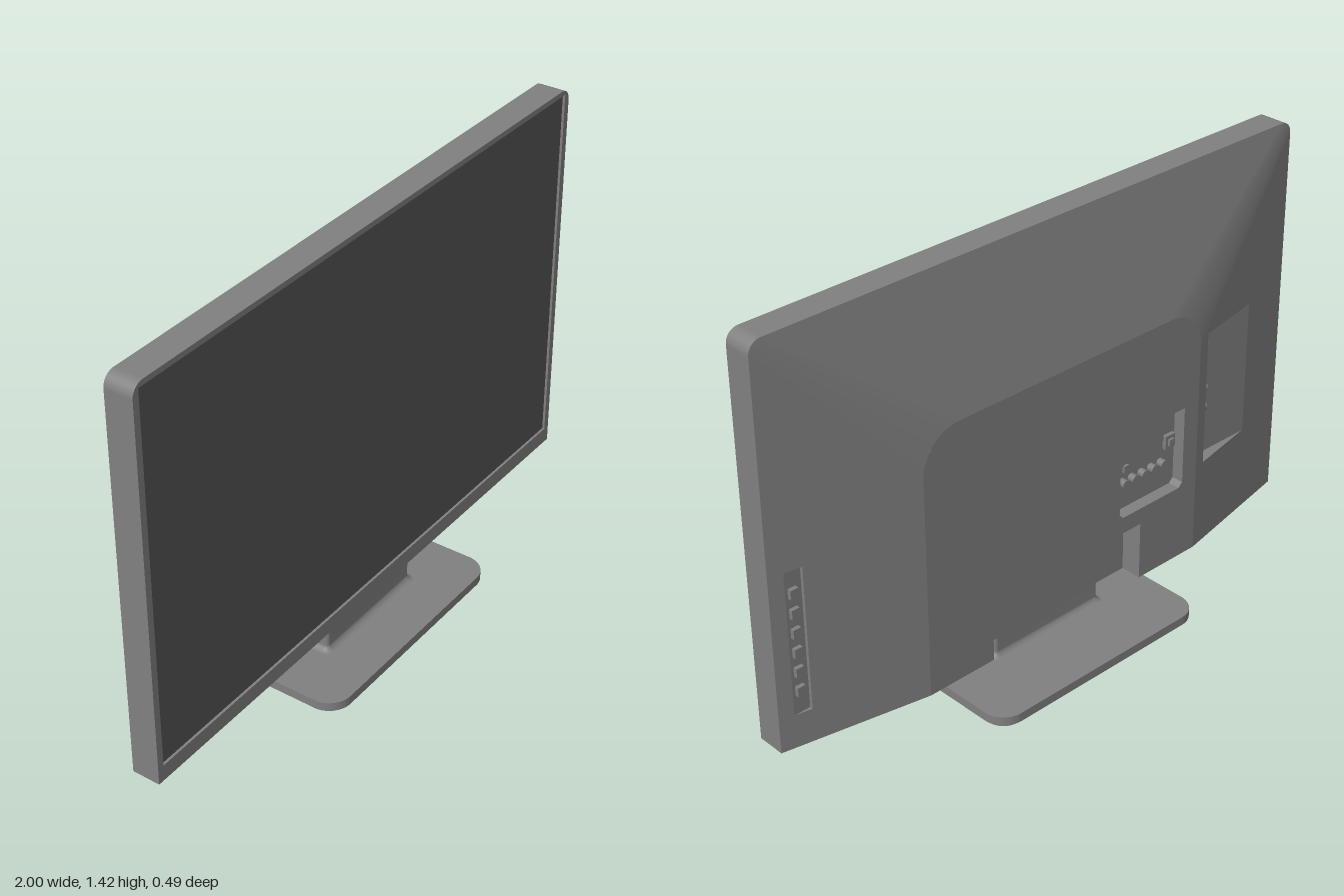
import * as THREE from 'three';

const BOTTOM = 0.155, TOP = 1.42, BACK = -0.09;
const PX = 0.54, PY = 1.0, PR = 0.13, R = 0.04; // rear plateau and corner radii

const body = new THREE.MeshStandardMaterial({ color: 0x808080 });
body.name = 'bodyGrey';
const dark = new THREE.MeshStandardMaterial({ color: 0x555555 });
dark.name = 'screenGrey';

function add(parent, name, geometry, x = 0, y = 0, z = 0, material = body) {
  const mesh = new THREE.Mesh(geometry, material);
  mesh.name = name;
  mesh.position.set(x, y, z);
  parent.add(mesh);
  return mesh;
}

const polygon = pts => new THREE.Shape(pts.map(p => new THREE.Vector2(p[0], p[1])));

// Rear-facing surface over an outline, with its depth given by a rule
function rearSurface(shape, depth) {
  const g = new THREE.ShapeGeometry(shape, 10);
  const p = g.attributes.position, idx = g.index.array;
  for (let i = 0; i < p.count; i++) p.setZ(i, depth(p.getX(i), p.getY(i)));
  for (let i = 0; i < idx.length; i += 3) [idx[i + 1], idx[i + 2]] = [idx[i + 2], idx[i + 1]];
  g.computeVertexNormals();
  return g;
}

function triangles(v) {
  const g = new THREE.BufferGeometry();
  g.setAttribute('position', new THREE.Float32BufferAttribute(v, 3));
  g.computeVertexNormals();
  return g;
}

// Recess with a flat floor; outline runs counter-clockwise in x, y
function pocket(parent, name, pts, depth, floor, firstEdge = 0) {
  const v = [];
  for (let i = firstEdge; i < pts.length; i++) {
    const a = pts[i], b = pts[(i + 1) % pts.length];
    const za = depth(...a), zb = depth(...b);
    v.push(...a, floor, ...b, floor, ...b, zb, ...a, floor, ...b, zb, ...a, za);
  }
  add(parent, name + 'Walls', triangles(v));
  add(parent, name + 'Floor', rearSurface(polygon(pts), () => floor));
}

function roundedRect(hx, hy, r) {
  const s = new THREE.Shape();
  s.absarc(hx - r, hy - r, r, 0, Math.PI / 2);
  s.absarc(r - hx, hy - r, r, Math.PI / 2, Math.PI);
  s.absarc(r - hx, r - hy, r, Math.PI, Math.PI * 1.5);
  s.absarc(hx - r, r - hy, r, Math.PI * 1.5, Math.PI * 2);
  return s;
}

function slab(hx, hz, r, height) {
  const g = new THREE.ExtrudeGeometry(roundedRect(hx, hz, r), { depth: height, bevelEnabled: false, curveSegments: 10 });
  return g.rotateX(-Math.PI / 2);
}

// Upright neck whose outline flares out towards its foot
function flaredNeck(hx, hz, r, rows) {
  const v = [], idx = [];
  let n = 0;
  for (const [y, grow] of rows) {
    const pts = roundedRect(hx + grow, hz + grow, r + grow).getPoints(5);
    n = pts.length;
    for (const p of pts) v.push(p.x, y, -p.y);
  }
  for (let j = 0; j < rows.length - 1; j++) {
    for (let i = 0; i < n; i++) {
      const k = (i + 1) % n, a = j * n + i, b = j * n + k;
      idx.push(a, b, b + n, a, b + n, a + n);
    }
  }
  const g = new THREE.BufferGeometry();
  g.setAttribute('position', new THREE.Float32BufferAttribute(v, 3));
  g.setIndex(idx);
  g.computeVertexNormals();
  return g;
}

function buildFrontPanel(parent) {
  const frame = new THREE.Shape();
  frame.moveTo(-1, BOTTOM);
  frame.lineTo(1, BOTTOM);
  frame.absarc(1 - R, TOP - R, R, 0, Math.PI / 2);
  frame.absarc(R - 1, TOP - R, R, Math.PI / 2, Math.PI);
  frame.closePath();
  const x = 0.978, y0 = 0.207, y1 = 1.403;
  frame.holes.push(polygon([[-x, y0], [-x, y1], [x, y1], [x, y0]]));
  add(parent, 'bezel', new THREE.ExtrudeGeometry(frame, { depth: 0.09, bevelEnabled: false, curveSegments: 10 }));
  add(parent, 'screen', new THREE.PlaneGeometry(2 * x, y1 - y0), 0, (y0 + y1) / 2, 0.082, dark);
}

function buildRearShell(parent) {
  const flat = () => BACK;
  const side = x => BACK * (1 - Math.abs(x)) / (1 - PX);
  const top = (x, y) => BACK * (TOP - y) / (TOP - PY);

  // Recess outlines
  const notch = [[-0.3, BOTTOM], [0.3, BOTTOM], [0.3, 0.35], [-0.3, 0.35]];
  const ports = [[-0.465, 0.405], [-0.225, 0.405], [-0.21, 0.42], [-0.21, 0.575], [-0.225, 0.59],
    [-0.375, 0.59], [-0.39, 0.605], [-0.39, 0.665], [-0.405, 0.68], [-0.48, 0.68], [-0.48, 0.42]];
  const sidePorts = [[-0.811, 0.445], [-0.58, 0.445], [-0.58, 0.89], [-0.811, 0.89]];
  const keys = [[0.9, 0.265], [0.954, 0.265], [0.954, 0.73], [0.9, 0.73]];

  // Flat middle
  const plateau = new THREE.Shape();
  plateau.moveTo(0.3, BOTTOM);
  plateau.lineTo(PX, BOTTOM);
  plateau.absarc(PX - PR, PY - PR, PR, 0, Math.PI / 2);
  plateau.absarc(PR - PX, PY - PR, PR, Math.PI / 2, Math.PI);
  for (const p of [[-PX, BOTTOM], notch[0], notch[3], notch[2]]) plateau.lineTo(...p);
  plateau.holes.push(polygon(ports));
  add(parent, 'rearPlateau', rearSurface(plateau, flat));

  // Slopes
  const ix = PX - PR, iy = PY - PR;
  add(parent, 'topSlope', rearSurface(polygon([[ix, PY], [1 - R, TOP], [R - 1, TOP], [-ix, PY]]), top));
  for (const s of [1, -1]) {
    const slope = polygon([[s, BOTTOM], [s, TOP - R], [s * PX, iy], [s * PX, BOTTOM]]);
    slope.holes.push(polygon(s > 0 ? keys : sidePorts));
    add(parent, s > 0 ? 'leftSlope' : 'rightSlope', rearSurface(slope, side));

    // Rounded corner between slopes
    const n = 12, v = [], idx = [];
    for (let i = 0; i <= n; i++) {
      const c = Math.cos(i / n * Math.PI / 2), d = Math.sin(i / n * Math.PI / 2);
      v.push(s * (ix + PR * c), iy + PR * d, BACK, s * (1 - R + R * c), TOP - R + R * d, 0);
      if (i === n) break;
      const a = 2 * i, tris = [[a, a + 2, a + 1], [a + 2, a + 3, a + 1]];
      for (const t of tris) idx.push(...(s > 0 ? t : t.reverse()));
    }
    const g = new THREE.BufferGeometry();
    g.setAttribute('position', new THREE.Float32BufferAttribute(v, 3));
    g.setIndex(idx);
    g.computeVertexNormals();
    add(parent, s > 0 ? 'leftCorner' : 'rightCorner', g);
  }

  // Underside, cut out around the notch
  const under = polygon([[-1, 0], [-PX, BACK], [-0.3, BACK], [-0.3, -0.02], [0.3, -0.02], [0.3, BACK], [PX, BACK], [1, 0]]);
  add(parent, 'underside', new THREE.ShapeGeometry(under).rotateX(Math.PI / 2), 0, BOTTOM, 0);

  pocket(parent, 'standNotch', notch, flat, -0.02, 1);
  pocket(parent, 'portRecess', ports, flat, -0.05);
  pocket(parent, 'sidePortRecess', sidePorts, side, -0.037);
  pocket(parent, 'keyRecess', keys, side, -0.009);
}

function buildControls(parent) {
  // Control keys
  for (let i = 0; i < 6; i++) {
    add(parent, 'controlKey', new THREE.BoxGeometry(0.026, 0.03, 0.014), 0.932, 0.343 + i * 0.0635, -0.015);
  }
  // Rear sockets
  for (let i = 0; i < 5; i++) {
    const x = -0.255 - i * 0.041;
    add(parent, 'roundSocket', new THREE.CylinderGeometry(0.014, 0.014, 0.025, 16).rotateX(Math.PI / 2), x, 0.5, -0.06);
  }
  for (const [x, y] of [[-0.255, 0.555], [-0.45, 0.565]]) {
    add(parent, 'squareSocket', new THREE.BoxGeometry(0.04, 0.045, 0.015), x, y, -0.056);
    add(parent, 'socketPin', new THREE.BoxGeometry(0.02, 0.022, 0.01), x, y, -0.067);
  }
  // Sideways sockets
  for (let i = 0; i < 4; i++) {
    const g = i < 2 ? new THREE.CylinderGeometry(0.015, 0.015, 0.02, 16).rotateZ(Math.PI / 2)
      : new THREE.BoxGeometry(0.016, 0.04, 0.022);
    add(parent, 'sideSocket', g, -0.588, 0.63 + i * 0.066, -0.06);
  }
}

export function createModel() {
  const model = new THREE.Group();
  model.name = 'television';
  const display = new THREE.Group(), stand = new THREE.Group();
  display.name = 'display';
  stand.name = 'stand';
  model.add(display, stand);

  buildFrontPanel(display);
  buildRearShell(display);
  buildControls(display);

  add(stand, 'baseFoot', slab(0.375, 0.205, 0.06, 0.04));
  add(stand, 'basePlate', slab(0.41, 0.243, 0.075, 0.029), 0, 0.039, 0);
  const rows = [[0.068, 0.018], [0.07, 0.011], [0.075, 0.005], [0.081, 0.001], [0.086, 0], [0.158, 0]];
  add(stand, 'neck', flaredNeck(0.212, 0.036, 0.012, rows), 0, 0, 0.037);
  return model;
}
